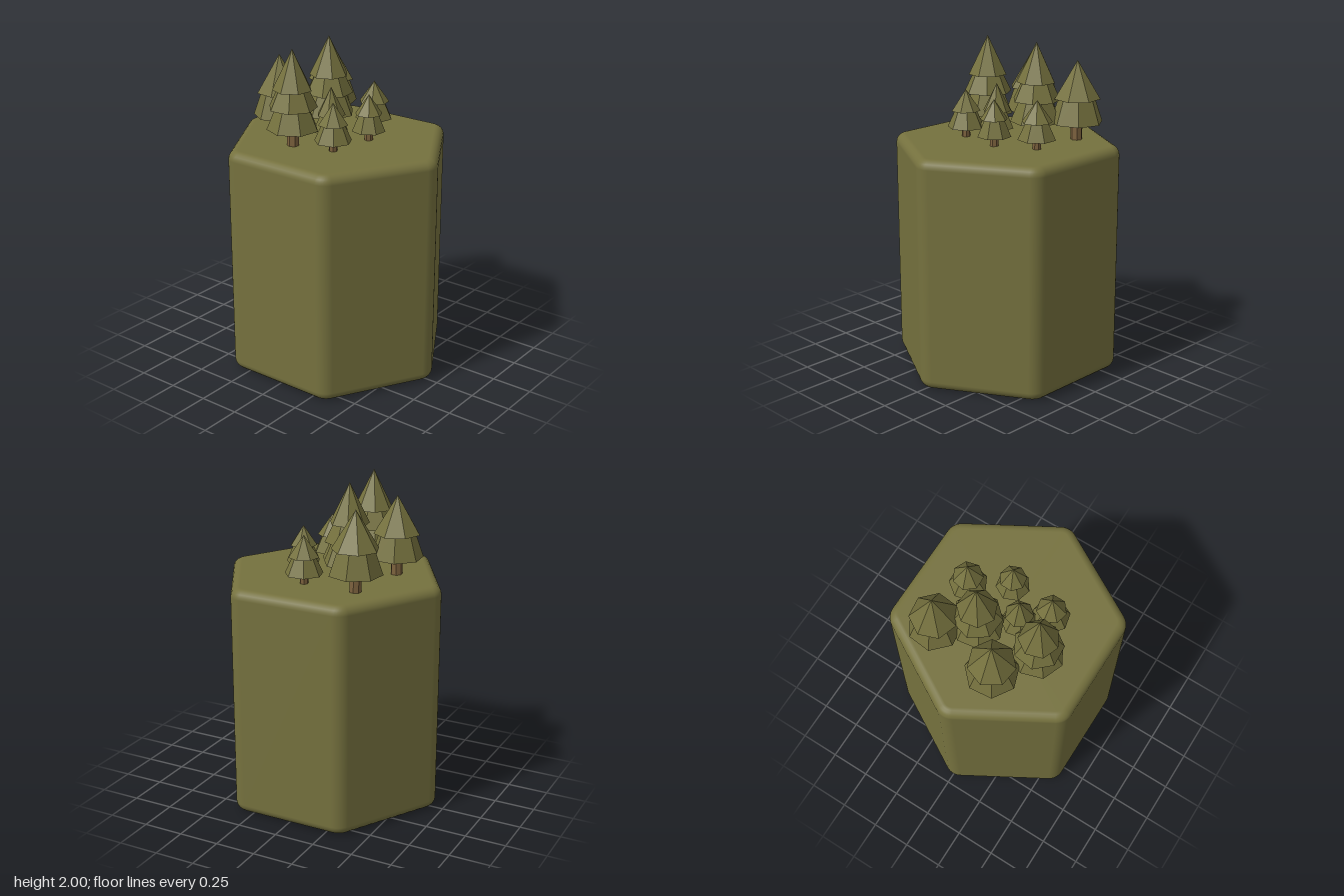
import * as THREE from 'three';

const olive = new THREE.MeshStandardMaterial({ color: 0x75713e, name: 'olive' });
const brown = new THREE.MeshStandardMaterial({ color: 0x7d623e, name: 'bark brown' });
const GROUND = 1.42;

// Hexagonal block with rounded corners and rounded rims, corners on the z axis
function roundedHexagon(apothem, height, cornerR, bevel) {
  const STEPS = 6, coreR = (apothem - cornerR) / Math.cos(Math.PI / 6);
  const around = [];
  for (let k = 0; k < 6; k++) {
    for (let s = 0; s <= STEPS; s++) {
      const c = k * Math.PI / 3, a = c + (s / STEPS - 0.5) * Math.PI / 3;
      around.push({ cx: coreR * Math.sin(c), cz: coreR * Math.cos(c), nx: Math.sin(a), nz: Math.cos(a) });
    }
  }
  // rows from the bottom centre, up over both rims, to the top centre
  const rows = [{ scale: 0, phi: -Math.PI / 2, y: bevel }];
  for (const [side, y] of [[-1, bevel], [1, height - bevel]]) {
    for (let s = 0; s <= 5; s++) {
      const t = side < 0 ? s / 5 - 1 : s / 5;
      rows.push({ scale: 1, phi: t * Math.PI / 2, y });
    }
  }
  rows.push({ scale: 0, phi: Math.PI / 2, y: height - bevel });

  const pos = [], nor = [], idx = [], n = around.length;
  rows.forEach(({ scale, phi, y }, j) => {
    const cos = Math.cos(phi), sin = Math.sin(phi);
    around.forEach((p, i) => {
      const out = cornerR - bevel + bevel * cos;
      pos.push(scale * (p.cx + out * p.nx), y + bevel * sin, scale * (p.cz + out * p.nz));
      nor.push(cos * p.nx, sin, cos * p.nz);
      if (j === rows.length - 1) return;
      const a = j * n + i, b = j * n + (i + 1) % n;
      idx.push(a, b, b + n, a, b + n, a + n);
    });
  });
  const g = new THREE.BufferGeometry();
  g.setAttribute('position', new THREE.Float32BufferAttribute(pos, 3));
  g.setAttribute('normal', new THREE.Float32BufferAttribute(nor, 3));
  g.setIndex(idx);
  return g;
}

// Faceted seven-sided cone or frustum between two heights, turned by an angle
function facetedCone(rTop, rBottom, y0, y1, turn) {
  const g = new THREE.CylinderGeometry(rTop, rBottom, y1 - y0, 7).toNonIndexed();
  g.rotateY(turn);
  g.translate(0, (y0 + y1) / 2, 0);
  g.computeVertexNormals();
  return g;
}

// Tiers, lowest first: [bottom height, top height, top radius, bottom radius], radii relative to the tree
const TIERS = {
  tall: [[0.1, 0.27, 0.55, 1], [0.23, 0.4, 0.42, 0.94], [0.34, 0.58, 0, 0.76]],
  medium: [[0.105, 0.29, 0.6, 1], [0.25, 0.48, 0, 0.88]],
  small: [[0.058, 0.18, 0.5, 1], [0.16, 0.29, 0, 0.8]],
};

function makeTree({ kind, x, z, r, turn, tip = 0 }) {
  const tree = new THREE.Group();
  tree.name = kind + 'Tree';
  const trunkR = kind === 'small' ? 0.026 : 0.036;
  const trunk = new THREE.Mesh(facetedCone(trunkR, trunkR, -0.01, TIERS[kind][0][0] + 0.03, turn), brown);
  trunk.name = 'trunk';
  tree.add(trunk);
  TIERS[kind].forEach(([y0, y1, top, bottom], i, all) => {
    const last = i === all.length - 1;
    const y = last ? y1 + tip : y1;
    const tier = new THREE.Mesh(facetedCone(top * r, bottom * r, y0, y, turn + i * Math.PI / 7), olive);
    tier.name = last ? 'foliageTop' : 'foliageTier';
    tree.add(tier);
  });
  tree.position.set(x, GROUND, z);
  return tree;
}

export function createModel() {
  const model = new THREE.Group();
  model.name = 'forestTile';

  const base = new THREE.Mesh(roundedHexagon(0.612, GROUND, 0.1, 0.055), olive);
  base.name = 'hexagonBase';
  model.add(base);

  const trees = [
    { kind: 'medium', x: -0.12, z: -0.357, r: 0.16, turn: 0.1 },
    { kind: 'medium', x: 0.305, z: -0.295, r: 0.16, turn: -0.1 },
    { kind: 'tall', x: -0.28, z: -0.125, r: 0.156, turn: 0.3 },
    { kind: 'tall', x: 0.103, z: -0.155, r: 0.156, turn: 0.15 },
    { kind: 'small', x: -0.077, z: 0, r: 0.107, turn: 0.2, tip: 0.04 },
    { kind: 'small', x: -0.217, z: 0.123, r: 0.112, turn: 0 },
    { kind: 'small', x: 0.07, z: 0.168, r: 0.102, turn: 0.4, tip: -0.01 },
    { kind: 'small', x: 0.297, z: 0.042, r: 0.115, turn: 0.25 },
  ];
  for (const t of trees) model.add(makeTree(t));
  return model;
}
